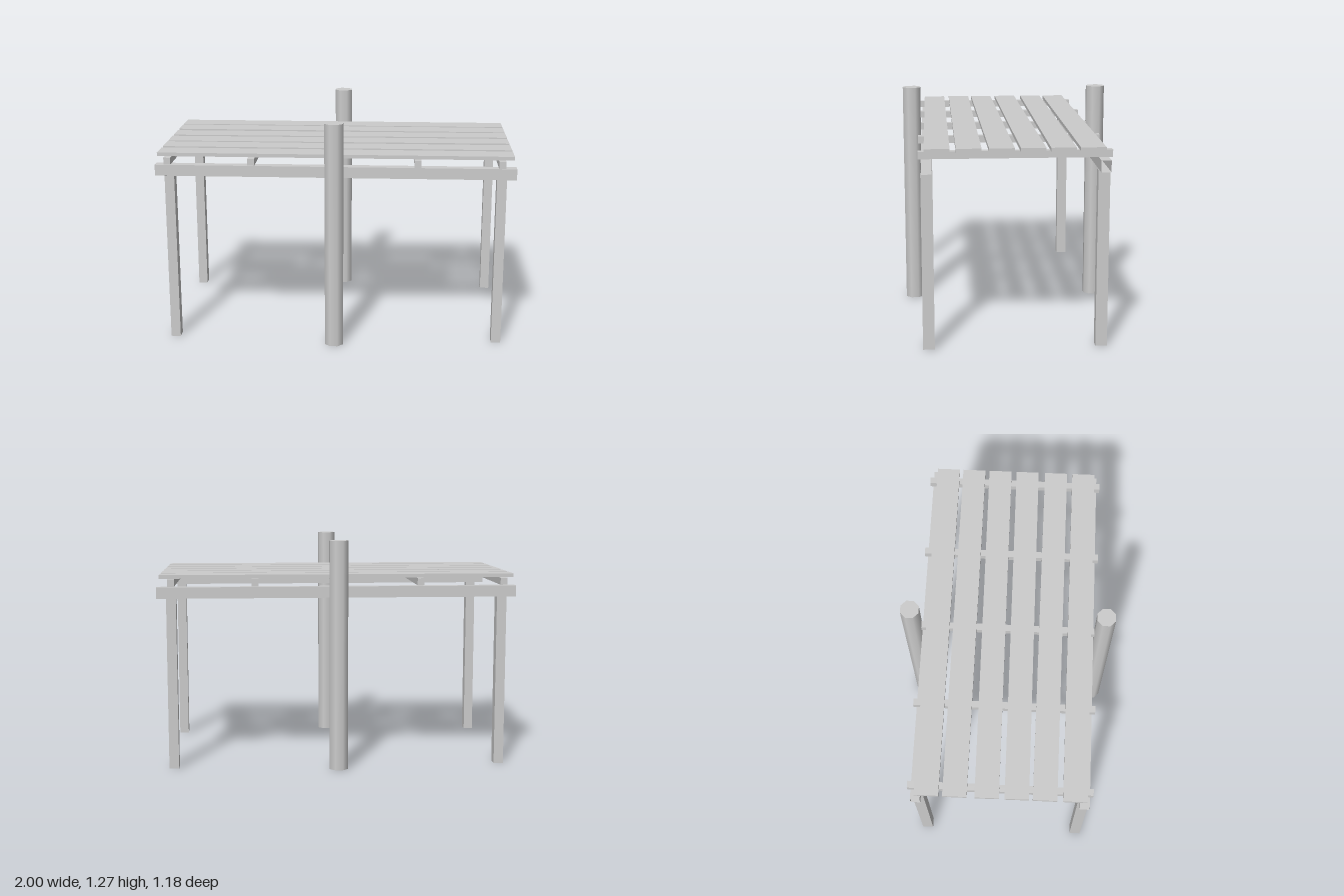
import * as THREE from 'three';

const solid = new THREE.MeshStandardMaterial({ color: 0xcccccc });
const hollow = new THREE.MeshStandardMaterial({ color: 0xcccccc, flatShading: true, side: THREE.DoubleSide });

export function createModel() {
  const model = new THREE.Group();
  model.name = 'slattedTable';

  const add = (name, geometry, material, x, y, z) => {
    const mesh = new THREE.Mesh(geometry, material);
    mesh.name = name;
    mesh.position.set(x, y, z);
    model.add(mesh);
    return mesh;
  };

  // Square tube along y, open at both ends
  const squareTube = (width, length, depth) =>
    new THREE.CylinderGeometry(Math.SQRT1_2, Math.SQRT1_2, 1, 4, 1, true, Math.PI / 4)
      .scale(width, length, depth);

  for (const side of [1, -1]) {
    const where = side > 0 ? 'front' : 'back';

    // Tall round post
    const post = new THREE.CylinderGeometry(0.055, 0.055, 1.274, 8).rotateY(Math.PI / 8);
    add(`${where}Post`, post, solid, 0, 0.637, side * 0.541);

    // Long hollow beam
    const beam = squareTube(0.062, 2, 0.053).rotateZ(Math.PI / 2);
    add(`${where}Beam`, beam, hollow, 0, 0.986, side * 0.459);

    // Hollow legs
    for (const x of [0.919, -0.919]) {
      add(`${where}${x > 0 ? 'Left' : 'Right'}Leg`, squareTube(0.054, 0.955, 0.062), hollow, x, 0.4775, side * 0.458);
    }
  }

  // Joists across the beams
  [-0.927, -0.461, -0.002, 0.458, 0.919].forEach((x, i) =>
    add(`joist${i + 1}`, new THREE.BoxGeometry(0.038, 0.039, 1.004), solid, x, 1.042, 0));

  // Top planks; the middle two lie slightly askew
  const planks = [[0.404, 0], [0.242, 0], [0.082, 0.009], [-0.079, 0.009], [-0.243, 0], [-0.395, 0]];
  planks.forEach(([z, turn], i) => {
    const plank = add(`plank${i + 1}`, new THREE.BoxGeometry(1.974, 0.02, 0.131), solid, -0.001, 1.073, z);
    plank.rotation.y = turn;
  });

  return model;
}
